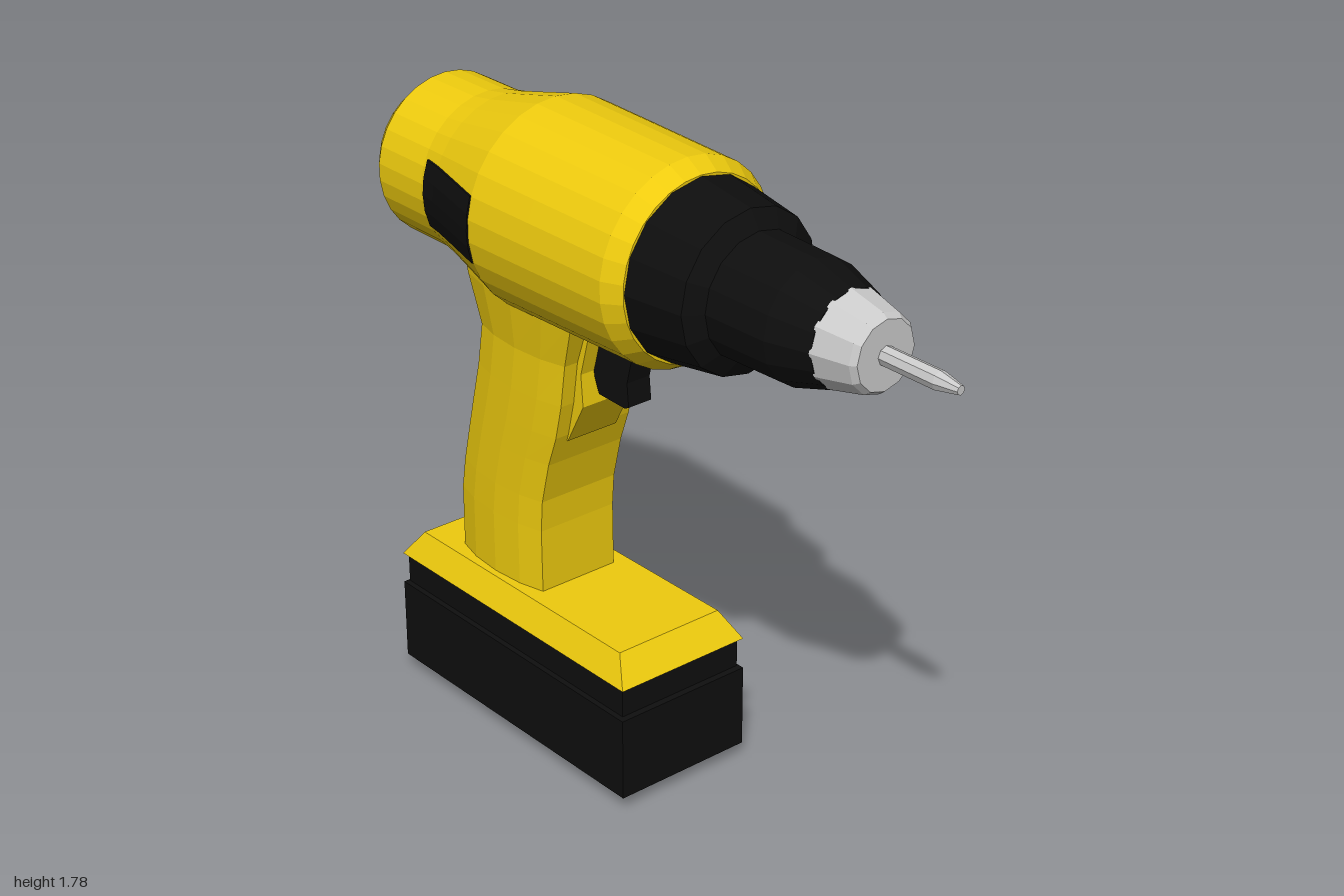
import * as THREE from 'three';

const mat = (color) => new THREE.MeshStandardMaterial({ color, flatShading: true });
const AXIS_Y = 1.5;

// Skin a closed solid over horizontal rings (counter-clockwise from above, bottom to top)
function loft(rings) {
  const n = rings[0].length, idx = [], last = (rings.length - 1) * n;
  for (let r = 0; r < rings.length - 1; r++) {
    for (let i = 0; i < n; i++) {
      const a = r * n + i, b = r * n + (i + 1) % n;
      idx.push(a, b, b + n, a, b + n, a + n);
    }
  }
  for (let i = 1; i < n - 1; i++) idx.push(0, i + 1, i, last, last + i, last + i + 1);
  const g = new THREE.BufferGeometry();
  g.setAttribute('position', new THREE.Float32BufferAttribute(rings.flat(2), 3));
  g.setIndex(idx);
  g.computeVertexNormals();
  return g;
}

// Rectangular ring at height y
const rect = ([y, w, front, back]) =>
  [[w, y, front], [w, y, back], [-w, y, back], [-w, y, front]];

// Solid of revolution along the drill axis from [radius, z] pairs, back to front
function turned(profile, sides) {
  const g = new THREE.LatheGeometry(profile.map(([r, z]) => new THREE.Vector2(r, z)), sides);
  return g.rotateX(Math.PI / 2).translate(0, AXIS_Y, 0);
}

// Side outline given as [z, y] pairs, extruded across x
function slab(outline, width) {
  const shape = new THREE.Shape(outline.map(([z, y]) => new THREE.Vector2(-z, y)));
  const g = new THREE.ExtrudeGeometry(shape, { depth: width, bevelEnabled: false });
  return g.translate(0, 0, -width / 2).rotateY(Math.PI / 2);
}

const HOUSING = [
  [0, -1], [0.07, -0.993], [0.135, -0.97], [0.185, -0.935], [0.222, -0.885],
  [0.222, -0.7], [0.234, -0.63], [0.258, -0.53], [0.285, -0.42],
  [0.28, -0.2], [0.273, 0.08], [0.242, 0.13], [0, 0.13],
];

// Housing radius at a given z
function housingRadius(z) {
  for (let i = 1; i < HOUSING.length; i++) {
    const [r0, z0] = HOUSING[i - 1], [r1, z1] = HOUSING[i];
    if (z <= z1) return r0 + (r1 - r0) * (z - z0) / (z1 - z0);
  }
  return 0;
}

export function createModel() {
  const group = new THREE.Group();
  const yellow = mat(0xeecb0e), black = mat(0x0e0e0e), grey = mat(0xcccccc);
  const add = (name, geometry, material) => {
    const mesh = new THREE.Mesh(geometry, material);
    mesh.name = name;
    group.add(mesh);
  };

  // Motor housing, clutch collar, chuck and bit along one axis
  add('motorHousing', turned(HOUSING, 30), yellow);
  add('clutchCollar', turned(
    [[0, 0.12], [0.24, 0.12], [0.213, 0.305], [0.165, 0.335], [0.16, 0.53], [0.124, 0.65], [0, 0.65]], 16), black);
  add('chuckNose', turned([[0, 0.64], [0.126, 0.645], [0.102, 0.75], [0.09, 0.765], [0, 0.765]], 12), grey);
  add('drillBit', turned([[0, 0.74], [0.025, 0.74], [0.025, 0.935], [0.012, 1], [0, 1]], 8), grey);

  // Side pads hugging the tapering rear of the housing
  for (const side of [1, -1]) {
    const pad = new THREE.BoxGeometry(0.03, 0.18, 0.265, 1, 4, 5).translate(0, 0, -0.5525);
    const p = pad.attributes.position;
    for (let i = 0; i < p.count; i++) {
      const y = p.getY(i), r = housingRadius(p.getZ(i)) + 0.004;
      const inset = p.getX(i) * side > 0 ? 0 : 0.03;
      p.setX(i, side * (Math.sqrt(r * r - y * y) - inset));
    }
    pad.translate(0, AXIS_Y, 0).computeVertexNormals();
    add(side > 0 ? 'leftPad' : 'rightPad', pad, black);
  }

  // Curved grip: [y, front z, back z, half width], with bulging sides
  const grip = [
    [0.42, -0.36, -0.705, 0.148], [0.62, -0.362, -0.705, 0.148], [0.71, -0.355, -0.69, 0.148],
    [0.83, -0.325, -0.662, 0.148], [0.92, -0.292, -0.64, 0.148], [1.02, -0.268, -0.615, 0.148],
    [1.14, -0.25, -0.595, 0.148], [1.28, -0.2, -0.625, 0.168], [1.36, -0.18, -0.64, 0.172],
  ];
  const section = [[0, 0.82], [0.22, 0.95], [0.5, 1], [0.78, 0.95], [1, 0.82]];
  add('grip', loft(grip.map(([y, front, back, w]) => {
    const half = section.map(([t, k]) => [w * k, y, front + (back - front) * t]);
    return [...half, ...half.map(([x, h, z]) => [-x, h, z]).reverse()];
  })), yellow);

  // Trigger and the ridge of the grip behind it
  add('triggerRidge', slab(
    [[-0.295, 0.9], [-0.23, 1.02], [-0.237, 1.11], [-0.195, 1.26], [-0.35, 1.26], [-0.35, 0.9]], 0.16), yellow);
  add('trigger', slab(
    [[-0.115, 1.047], [-0.1, 1.055], [-0.106, 1.12], [-0.07, 1.26], [-0.21, 1.26], [-0.25, 1.13], [-0.218, 1.05]],
    0.074), black);

  // Foot plate and battery pack
  add('footPlate', loft([[0.365, 0.206, 0.073, -0.882], [0.44, 0.167, 0.015, -0.83]].map(rect)), yellow);
  add('batteryPack', loft([
    [0, 0.15, -0.01, -0.8], [0.04, 0.207, 0.073, -0.882], [0.275, 0.207, 0.073, -0.882],
    [0.28, 0.196, 0.06, -0.87], [0.366, 0.196, 0.06, -0.87],
  ].map(rect)), black);

  return group;
}
